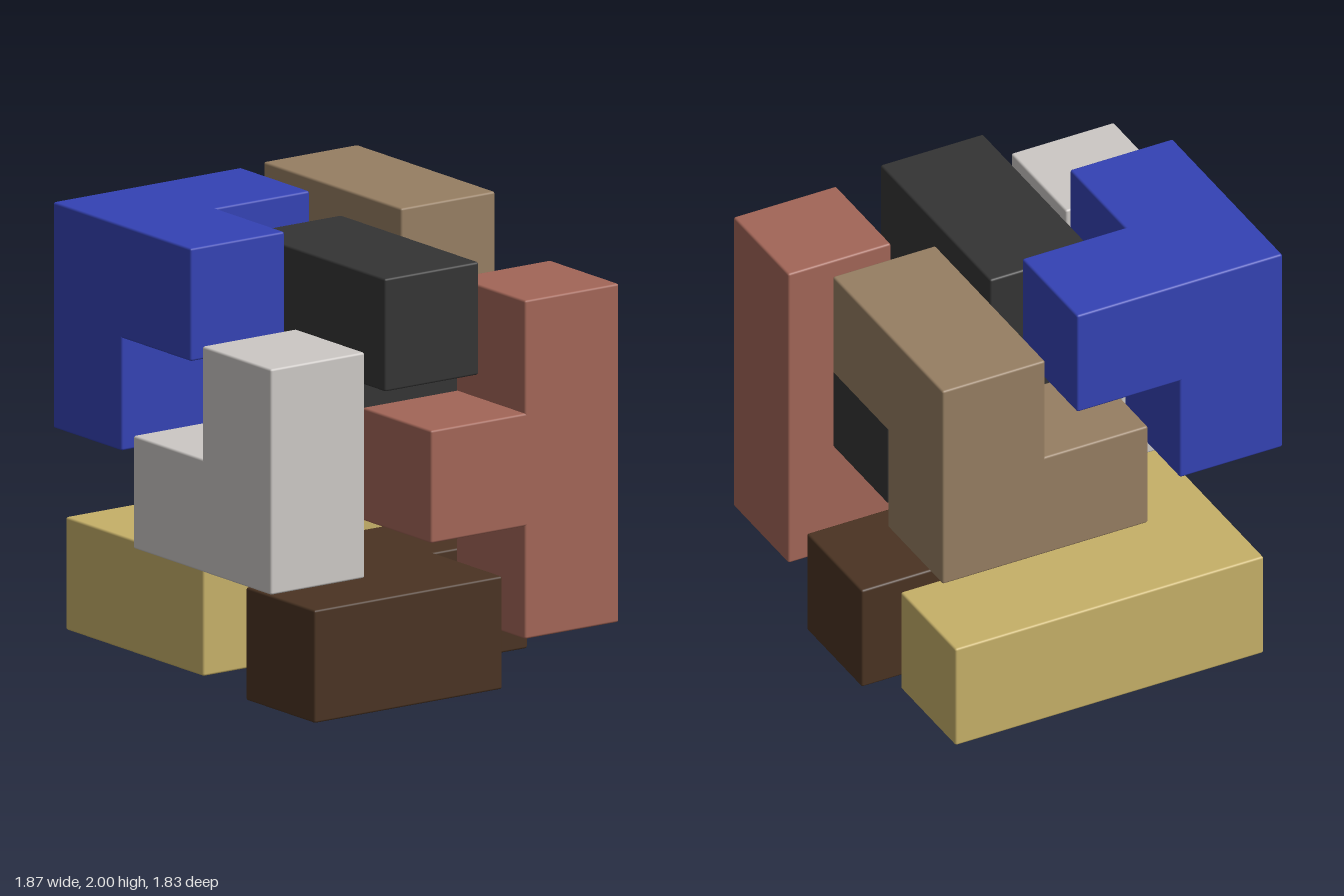
import * as THREE from 'three';
import { mergeGeometries } from 'three/addons/utils/BufferGeometryUtils.js';
import { RoundedBoxGeometry } from 'three/addons/geometries/RoundedBoxGeometry.js';

const U = 0.494;      // edge of one cube cell
const BEVEL = 0.01;   // softened outer edges

// Each piece: lowest corner of its bounds, and overlapping bars [first cell, last cell].
const PIECES = [
  { name: 'cornerPieceBlue', color: 0x3442b4, at: [-0.765, 1.013, -0.168],
    bars: [[[0, 1, 0], [0, 1, 1]], [[0, 1, 1], [1, 1, 1]], [[0, 0, 1], [0, 1, 1]]] },
  { name: 'twistPieceBlack', color: 0x343434, at: [-0.21, 0.902, -0.782],
    bars: [[[0, 0, 0], [0, 0, 1]], [[0, 0, 1], [0, 1, 1]], [[0, 1, 1], [1, 1, 1]]] },
  { name: 'twistPieceTan', color: 0x967e62, at: [-0.936, 0.965, -0.906],
    bars: [[[0, 1, 0], [1, 1, 0]], [[0, 0, 0], [0, 1, 0]], [[0, 0, 0], [0, 0, 1]]] },
  { name: 'shortAnglePieceWhite', color: 0xccc8c5, at: [-0.062, 0.645, 0.42],
    bars: [[[0, 0, 0], [1, 0, 0]], [[1, 0, 0], [1, 1, 0]]] },
  { name: 'longAnglePieceYellow', color: 0xc6b068, at: [-0.887, 0.08, -0.818],
    bars: [[[0, 0, 0], [0, 0, 2]], [[0, 0, 2], [1, 0, 2]]] },
  { name: 'zigzagPieceBrown', color: 0x4a3322, at: [-0.21, 0.002, -0.906],
    bars: [[[0, 0, 0], [0, 0, 1]], [[0, 0, 1], [1, 0, 1]], [[1, 0, 1], [1, 0, 2]]] },
  { name: 'teePieceRed', color: 0xa26557, at: [0.437, 0.25, -0.912],
    bars: [[[0, 0, 0], [0, 2, 0]], [[0, 1, 0], [0, 1, 1]]] },
];

// Bevelled bar that spans the cells from a to b
function bar([a, b]) {
  const size = a.map((v, i) => (b[i] - v + 1) * U);
  const mid = a.map((v, i) => (b[i] + v + 1) * U / 2);
  return new RoundedBoxGeometry(...size, 2, BEVEL).translate(...mid);
}

export function createModel() {
  const group = new THREE.Group();
  group.name = 'explodedCubePuzzle';
  for (const { name, color, at, bars } of PIECES) {
    const material = new THREE.MeshStandardMaterial({ color });
    material.name = name.match(/[A-Z][a-z]+$/)[0].toLowerCase();
    const mesh = new THREE.Mesh(mergeGeometries(bars.map(bar)), material);
    mesh.name = name;
    mesh.position.set(...at);
    group.add(mesh);
  }
  return group;
}
